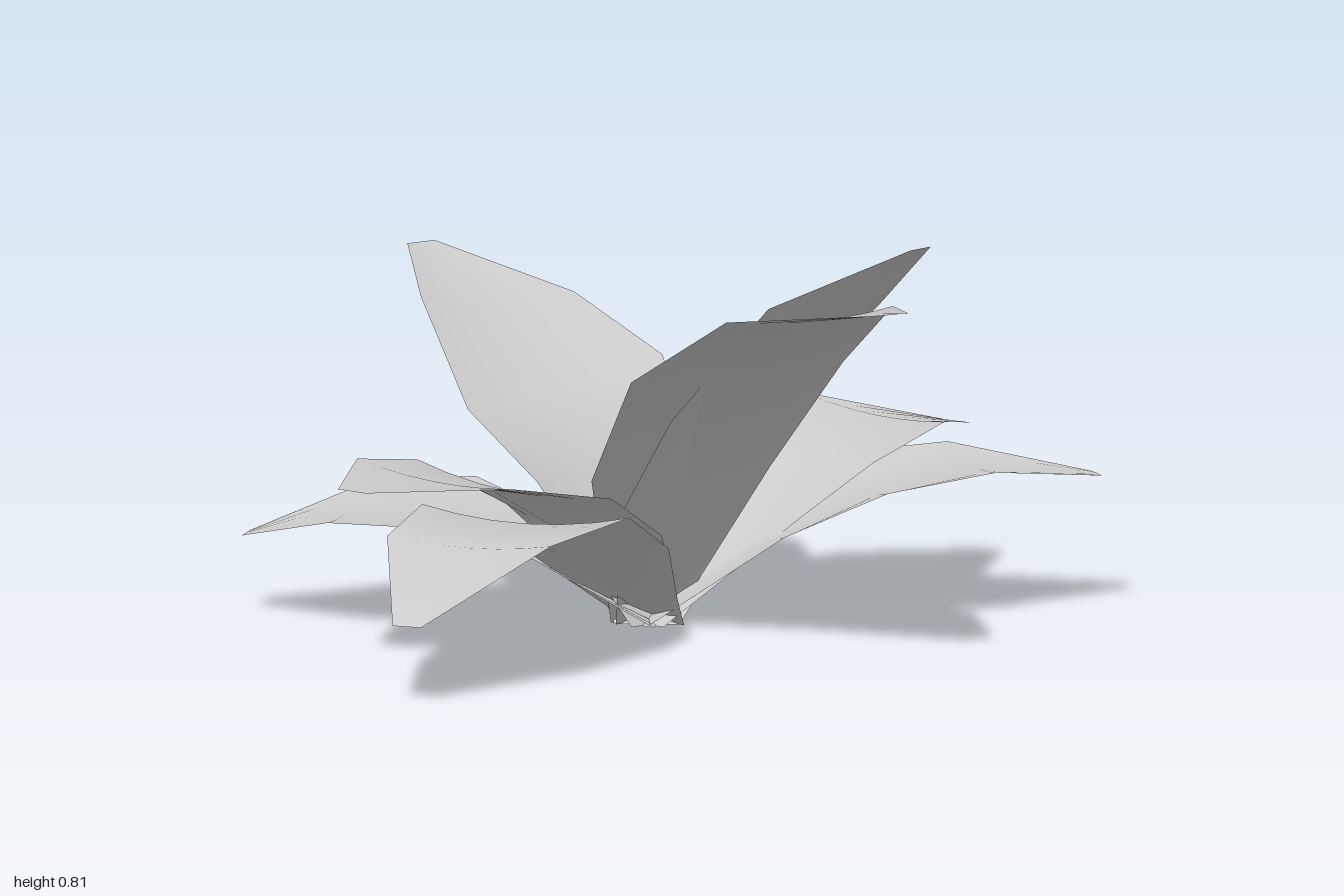
import * as THREE from 'three';

const petalGrey = new THREE.MeshStandardMaterial({ color: 0xcccccc, side: THREE.DoubleSide });
petalGrey.name = 'petal grey';

const CENTRE = new THREE.Vector3(-0.085, 0.005, 0.085);
const WIDTHS = [0.13, 0.38, 0.47, 0.37, 0.065]; // full width from root to tip
const CUP = [0, 0.03, 0.025, 0.015, 0]; // depth of the hollow from root to tip
const COLS = 6;

// A cupped blade: spine points from root to tip, swept with a parabolic cross-section.
// rolls tilts the three middle sections sideways.
function petal(name, spine, width = 1, rolls = [0, 0, 0]) {
  const mids = spine.map((p) => new THREE.Vector3(...p));
  const tilt = [0, ...rolls, 0];
  // The roots cross the heart of the flower and overlap there
  const out = mids[0].clone().sub(CENTRE).setY(0).setLength(0.025);
  mids.unshift(CENTRE.clone().sub(out));
  const pos = [];
  const index = [];
  mids.forEach((m, i) => {
    const along = mids[Math.min(i + 1, 4)].clone().sub(mids[Math.max(i - 1, 0)]).normalize();
    const side = new THREE.Vector3(-along.z, 0, along.x).normalize();
    side.y = tilt[i];
    side.normalize();
    const up = new THREE.Vector3().crossVectors(side, along).normalize();
    for (let j = 0; j <= COLS; j++) {
      const u = (j / COLS) * 2 - 1;
      const p = m.clone()
        .addScaledVector(side, u * WIDTHS[i] * width / 2)
        .addScaledVector(up, -CUP[i] * (1 - u * u));
      pos.push(p.x, p.y, p.z);
      if (i < 4 && j < COLS) {
        const a = i * (COLS + 1) + j;
        const b = a + COLS + 1;
        index.push(a, a + 1, b, b, a + 1, b + 1);
      }
    }
  });
  const geo = new THREE.BufferGeometry();
  geo.setAttribute('position', new THREE.Float32BufferAttribute(pos, 3));
  geo.setIndex(index);
  geo.computeVertexNormals();
  const mesh = new THREE.Mesh(geo, petalGrey);
  mesh.name = name;
  return mesh;
}

export function createModel() {
  const flower = new THREE.Group();
  flower.name = 'flower';

  // Spreading petals
  flower.add(
    petal('backPetal', [[0.02, 0.2, -0.2], [0.1, 0.277, -0.45], [0.2, 0.257, -0.725], [0.29, 0.12, -0.995]], 0.99),
    petal('backLeftPetal', [[0.11, 0.215, -0.035], [0.255, 0.315, -0.13], [0.475, 0.36, -0.265], [0.69, 0.3, -0.42]], 1, [-0.06, -0.06, -0.06]),
    petal('leftPetal', [[0.14, 0.195, 0.07], [0.35, 0.28, 0.06], [0.585, 0.305, 0.065], [0.845, 0.26, 0.055]], 0.95, [-0.03, -0.03, -0.03]),
    petal('frontRightPetal', [[-0.27, 0.205, 0.3], [-0.45, 0.305, 0.5], [-0.635, 0.29, 0.75], [-0.825, 0.16, 0.975]], 0.95),
    petal('rightPetal', [[-0.24, 0.23, 0.17], [-0.405, 0.33, 0.255], [-0.6, 0.365, 0.365], [-0.8, 0.355, 0.475]], 1.18, [0.03, 0.03, 0.03]),
    petal('backRightPetal', [[-0.26, 0.165, 0], [-0.44, 0.235, -0.08], [-0.625, 0.23, -0.175], [-0.81, 0.16, -0.275]], 1.1, [0.04, 0.05, 0.06]),
  );

  // Upright petals
  flower.add(
    petal('uprightLeftPetal', [[-0.03, 0.28, 0.18], [0.05, 0.485, 0.3], [0.175, 0.68, 0.45], [0.32, 0.82, 0.645]], 1, [-0.1, -0.1, 0.1]),
    petal('uprightFrontPetal', [[-0.06, 0.325, 0.24], [0, 0.555, 0.44], [0.08, 0.705, 0.69], [0.17, 0.745, 0.985]], 1.06),
    petal('uprightBackPetal', [[-0.13, 0.31, 0], [-0.19, 0.455, -0.15], [-0.275, 0.605, -0.345], [-0.37, 0.68, -0.57]], 1.05, [0.08, 0.13, -0.07]),
  );
  return flower;
}
